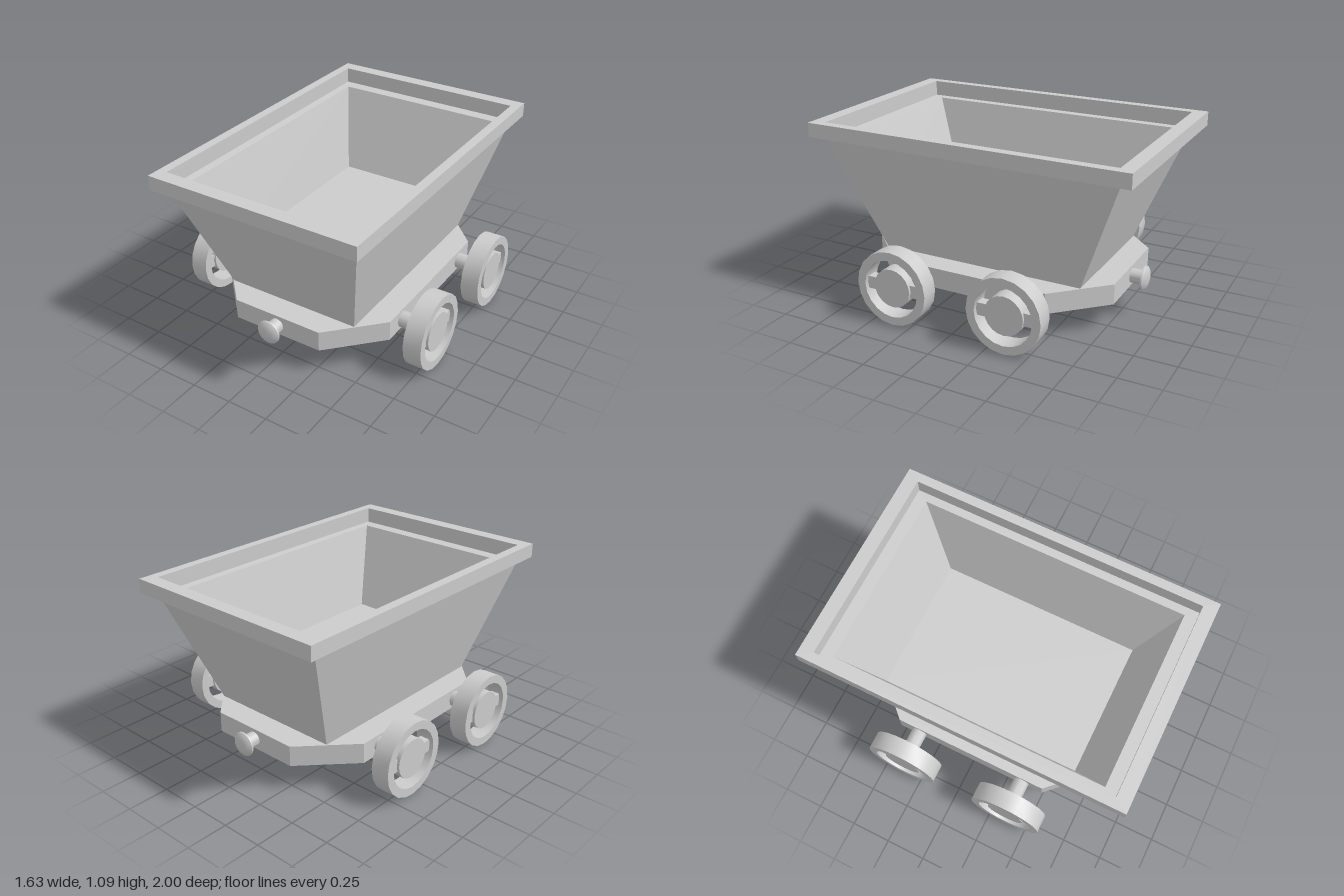
import * as THREE from 'three';
import { toCreasedNormals } from 'three/addons/utils/BufferGeometryUtils.js';

const material = new THREE.MeshStandardMaterial({ color: 0xcccccc });

function addMesh(parent, name, geometry) {
  const mesh = new THREE.Mesh(geometry, material);
  mesh.name = name;
  parent.add(mesh);
  return mesh;
}

// Turned part with crisp edges; profile is [radius, height] pairs
function turned(profile, segments) {
  const points = profile.map(([r, h]) => new THREE.Vector2(r, h));
  return toCreasedNormals(new THREE.LatheGeometry(points, segments), 0.6);
}

// Skin through rectangles [halfX, halfZ, y], closed by a face at each end
function rectLoft(sections) {
  const rings = sections.map(([x, z, y]) => [[x, y, z], [x, y, -z], [-x, y, -z], [-x, y, z]]);
  const positions = [];
  const quad = (a, b, c, d) => positions.push(...a, ...b, ...c, ...a, ...c, ...d);
  const first = rings[0], last = rings[rings.length - 1];
  quad(first[3], first[2], first[1], first[0]);
  quad(last[0], last[1], last[2], last[3]);
  for (let i = 0; i < rings.length - 1; i++) {
    for (let k = 0; k < 4; k++) {
      const n = (k + 1) % 4;
      quad(rings[i][k], rings[i][n], rings[i + 1][n], rings[i + 1][k]);
    }
  }
  const geometry = new THREE.BufferGeometry();
  geometry.setAttribute('position', new THREE.Float32BufferAttribute(positions, 3));
  geometry.computeVertexNormals();
  return geometry;
}

// Eight-sided base plate with cut corners
function chassisGeometry() {
  const shape = new THREE.Shape([
    [0.573, -0.5], [0.573, 0.5], [0.287, 0.795], [-0.287, 0.795],
    [-0.573, 0.5], [-0.573, -0.5], [-0.287, -0.795], [0.287, -0.795],
  ].map(([x, y]) => new THREE.Vector2(x, y)));
  const geometry = new THREE.ExtrudeGeometry(shape, { depth: 0.125, bevelEnabled: false });
  return geometry.rotateX(-Math.PI / 2).translate(0, 0.17, 0);
}

// Open rim, solid hub and a flat crossbar joining them; the axis is x
function makeWheel() {
  const wheel = new THREE.Group();
  wheel.name = 'wheel';
  const w = 0.056;
  addMesh(wheel, 'wheelRim', turned(
    [[0.177, -w], [0.228, -w], [0.228, w], [0.177, w], [0.177, -w]], 20).rotateZ(-Math.PI / 2));
  addMesh(wheel, 'wheelHub', turned(
    [[0, -0.045], [0.118, -0.045], [0.118, 0.045], [0, 0.045]], 20).rotateZ(-Math.PI / 2));
  addMesh(wheel, 'wheelCrossbar', new THREE.BoxGeometry(0.06, 0.076, 0.37));
  return wheel;
}

export function createModel() {
  const model = new THREE.Group();
  model.name = 'mineCart';

  // Tub: outer walls, rim lip, inner ledge, inner walls and raised floor
  addMesh(model, 'tub', rectLoft([
    [0.425, 0.645, 0.295],
    [0.612, 0.92, 0.993],
    [0.664, 1, 1.01],
    [0.664, 1, 1.097],
    [0.607, 0.915, 1.097],
    [0.607, 0.915, 1.0],
    [0.557, 0.842, 0.998],
    [0.43, 0.643, 0.5],
  ]));

  addMesh(model, 'chassis', chassisGeometry());

  // Axles and wheels
  const axleY = 0.232;
  for (const z of [0.36, -0.362]) {
    const axle = addMesh(model, 'axle', new THREE.CylinderGeometry(0.05, 0.05, 1.46, 8));
    axle.rotation.z = Math.PI / 2;
    axle.position.set(0, axleY, z);
    for (const side of [1, -1]) {
      const wheel = makeWheel();
      wheel.position.set(side * 0.76, axleY, z);
      model.add(wheel);
    }
  }

  // Domed buffers at both ends
  const buffer = turned([
    [0.044, 0], [0.044, 0.095], [0.074, 0.095], [0.073, 0.104],
    [0.06, 0.115], [0.035, 0.123], [0, 0.126],
  ], 18).rotateX(Math.PI / 2);
  for (const end of [1, -1]) {
    const mesh = addMesh(model, end > 0 ? 'frontBuffer' : 'backBuffer', buffer);
    mesh.position.set(0, axleY, end * 0.775);
    if (end < 0) mesh.rotation.y = Math.PI;
  }

  return model;
}
